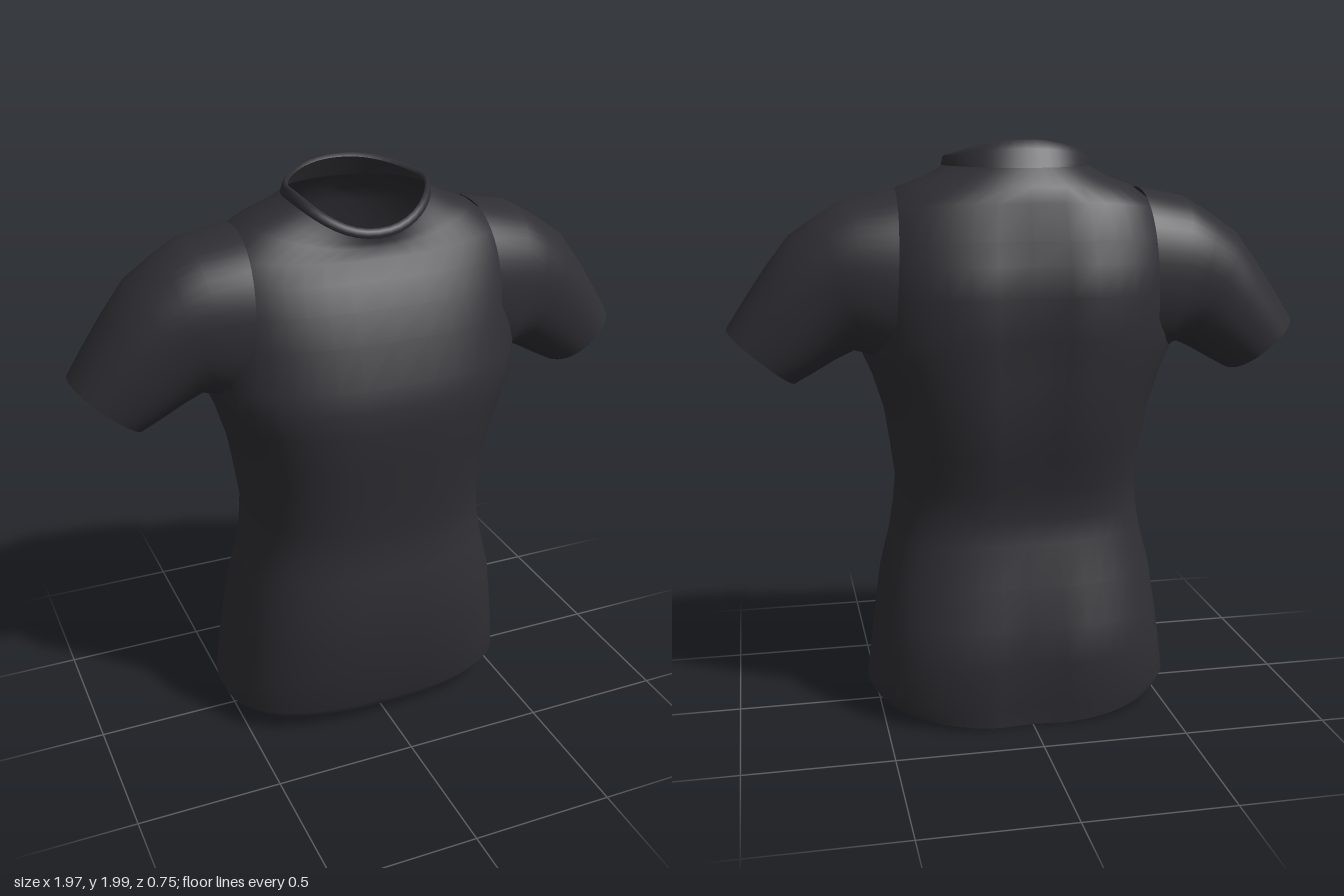
import * as THREE from 'three';

const SEGMENTS = 44;
const fabric = new THREE.MeshStandardMaterial({ color: 0x2f2f34, side: THREE.DoubleSide });

// Signed power, used for the rounded-box cross-sections
const spow = (v, p) => Math.sign(v) * Math.abs(v) ** p;

// Joins closed rings into a smooth skin; skip(centre) leaves an opening
function loft(name, rings, pointAt, skip = () => false) {
  const points = rings.map((ring) =>
    Array.from({ length: SEGMENTS }, (_, j) => {
      const a = (j / SEGMENTS) * Math.PI * 2;
      return pointAt(ring, Math.cos(a), Math.sin(a));
    }));
  const index = [];
  for (let i = 0; i < rings.length - 1; i++) {
    for (let j = 0; j < SEGMENTS; j++) {
      const k = (j + 1) % SEGMENTS;
      const corners = [points[i][j], points[i + 1][j], points[i][k], points[i + 1][k]];
      if (skip(corners)) continue;
      const a = i * SEGMENTS + j, b = a + SEGMENTS;
      const c = i * SEGMENTS + k, d = c + SEGMENTS;
      index.push(a, b, c, b, d, c);
    }
  }
  const geometry = new THREE.BufferGeometry().setFromPoints(points.flat());
  geometry.setIndex(index);
  geometry.computeVertexNormals();
  const mesh = new THREE.Mesh(geometry, fabric);
  mesh.name = name;
  return mesh;
}

// Body ring: half width, side y, front y, front z, back y, back z, spine groove
function bodyPoint([w, ySide, yFront, zFront, yBack, zBack, groove = 0], c, s) {
  const n = ySide > 1.8 ? 2.15 : 2.6;
  const x = w * spow(c, 2 / n);
  const depth = Math.abs(s) ** (2 / n);
  const front = s >= 0;
  const y = ySide + ((front ? yFront : yBack) - ySide) * s * s;
  const z = front ? zFront * depth : zBack * depth + groove * Math.exp(-((x / 0.09) ** 2));
  return new THREE.Vector3(x, y, z);
}

const level = (y, w, zFront, zBack, groove) => [w, y, y, zFront, y, zBack, groove];

const collarBase = [0.25, 1.915, 1.805, 0.185, 1.91, -0.22];

const bodyRings = [
  [0.52, 0.075, 0.055, 0.28, 0.01, -0.345, 0.02],
  [0.54, 0.1, 0.09, 0.3, 0.08, -0.355, 0.03],
  [0.52, 0.24, 0.24, 0.33, 0.24, -0.378, 0.035],
  level(0.36, 0.505, 0.345, -0.35, 0.02),
  level(0.5, 0.485, 0.355, -0.312),
  level(0.64, 0.45, 0.34, -0.275),
  level(0.73, 0.435, 0.33, -0.26),
  level(0.83, 0.425, 0.335, -0.28, 0.01),
  level(0.95, 0.44, 0.35, -0.312, 0.02),
  level(1.08, 0.46, 0.365, -0.345, 0.03),
  level(1.21, 0.5, 0.38, -0.355, 0.035),
  level(1.29, 0.535, 0.373, -0.362, 0.04),
  level(1.36, 0.545, 0.36, -0.368, 0.04),
  level(1.5, 0.55, 0.315, -0.376, 0.04),
  level(1.6, 0.55, 0.275, -0.35, 0.03),
  level(1.68, 0.54, 0.235, -0.325, 0.02),
  [0.5, 1.77, 1.74, 0.2, 1.8, -0.292, 0.01],
  [0.4, 1.848, 1.775, 0.188, 1.85, -0.265],
  [0.32, 1.875, 1.79, 0.185, 1.885, -0.24],
  collarBase,
];

// Ribbed neck band, low at the front and high at the back
const collarRings = [
  collarBase,
  [0.25, 1.925, 1.815, 0.19, 1.925, -0.212],
  [0.245, 1.945, 1.828, 0.186, 1.97, -0.19],
  [0.235, 1.953, 1.836, 0.176, 2.0, -0.174],
  [0.228, 1.94, 1.828, 0.17, 1.985, -0.168],
];

// Sleeve ring: top x, top y, bottom x, bottom y, front z, back z
const sleeveRings = [
  [0.985, 1.385, 0.765, 1.2, 0.12, -0.2],
  [0.93, 1.47, 0.7, 1.235, 0.14, -0.215],
  [0.855, 1.58, 0.63, 1.275, 0.162, -0.23],
  [0.77, 1.69, 0.565, 1.305, 0.18, -0.245],
  [0.675, 1.755, 0.53, 1.295, 0.195, -0.258],
  [0.58, 1.81, 0.5, 1.27, 0.21, -0.275],
  [0.42, 1.84, 0.45, 1.25, 0.225, -0.285],
];

const sleevePoint = (side) => ([tx, ty, bx, by, zFront, zBack], c, s) => {
  const t = (1 + spow(c, 0.88)) / 2;
  const z = (zFront + zBack) / 2 + ((zFront - zBack) / 2) * spow(s, 0.88);
  return new THREE.Vector3(side * (bx + (tx - bx) * t), by + (ty - by) * t, z);
};

export function createModel() {
  const model = new THREE.Group();
  model.name = 'tShirt';

  // Body with open armholes under the sleeves
  const inArmhole = (corners) =>
    corners.every((p) => Math.abs(p.x) > 0.495 && p.y > 1.35 && p.y < 1.78);
  model.add(loft('body', bodyRings, bodyPoint, inArmhole));
  model.add(loft('collar', collarRings, bodyPoint));

  // Short sleeves; the ring order is reversed on the mirrored side
  model.add(loft('leftSleeve', sleeveRings, sleevePoint(1)));
  model.add(loft('rightSleeve', [...sleeveRings].reverse(), sleevePoint(-1)));
  return model;
}
